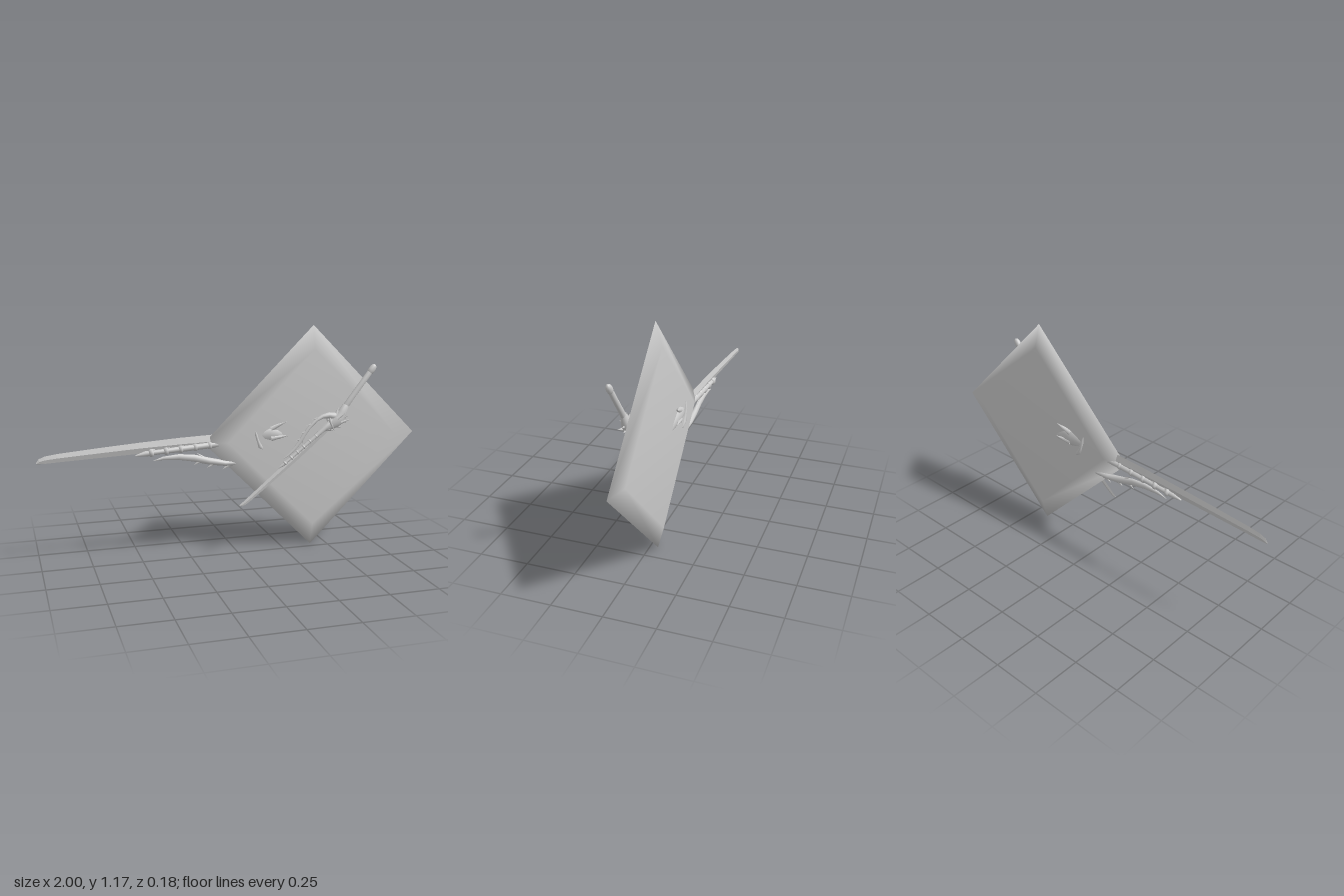
import * as THREE from 'three';

const material = new THREE.MeshStandardMaterial({ color: 0xcccccc, roughness: 0.7 });
const TIP = { x: -1, y: 0.533 }; // the blade tip is the sword's own origin

function addMesh(parent, name, geometry) {
  const mesh = new THREE.Mesh(geometry, material);
  mesh.name = name;
  parent.add(mesh);
  return mesh;
}

// Elliptical loft along a path in the xy plane; each section is [x, y, halfHeight, halfDepth]
function loft(sections, sides = 12, flat = false, z = 0) {
  const pos = [], index = [], n = sections.length;
  sections.forEach(([x, y, h, t], i) => {
    const a = sections[Math.max(i - 1, 0)], b = sections[Math.min(i + 1, n - 1)];
    const len = Math.hypot(b[0] - a[0], b[1] - a[1]);
    const tx = (b[0] - a[0]) / len, ty = (b[1] - a[1]) / len;
    for (let j = 0; j < sides; j++) {
      const ang = (j / sides) * Math.PI * 2, c = Math.cos(ang) * h;
      pos.push(x - ty * c, y + tx * c, z + Math.sin(ang) * t);
    }
  });
  for (let i = 0; i < n - 1; i++) {
    for (let j = 0; j < sides; j++) {
      const k = (j + 1) % sides;
      const a = i * sides + j, b = i * sides + k, c = b + sides, d = a + sides;
      index.push(a, b, c, a, c, d);
    }
  }
  // End caps
  [0, n - 1].forEach((i, end) => {
    const centre = pos.length / 3;
    pos.push(sections[i][0], sections[i][1], z);
    for (let j = 0; j < sides; j++) {
      const a = i * sides + j, b = i * sides + ((j + 1) % sides);
      if (end) index.push(centre, a, b);
      else index.push(centre, b, a);
    }
  });
  let geometry = new THREE.BufferGeometry();
  geometry.setAttribute('position', new THREE.Float32BufferAttribute(pos, 3));
  geometry.setIndex(index);
  if (flat) geometry = geometry.toNonIndexed();
  geometry.computeVertexNormals();
  return geometry.translate(-TIP.x, -TIP.y, 0);
}

// Small spike from a base point to a tip point
function spike(parent, name, from, to, radius) {
  const a = new THREE.Vector3(...from), b = new THREE.Vector3(...to);
  const dir = b.clone().sub(a);
  const mesh = addMesh(parent, name, new THREE.ConeGeometry(radius, dir.length(), 8));
  mesh.position.copy(a).add(b).multiplyScalar(0.5).sub(new THREE.Vector3(TIP.x, TIP.y, 0));
  mesh.quaternion.setFromUnitVectors(new THREE.Vector3(0, 1, 0), dir.normalize());
}

function createSword(name) {
  const sword = new THREE.Group();
  sword.name = name;

  addMesh(sword, 'blade', loft([
    [-1, 0.535, 0.004, 0.002], [-0.985, 0.545, 0.013, 0.004], [-0.96, 0.551, 0.018, 0.005],
    [-0.9, 0.557, 0.021, 0.006], [-0.7, 0.57, 0.025, 0.007], [-0.5, 0.582, 0.028, 0.008],
    [-0.3, 0.591, 0.032, 0.009], [-0.1, 0.597, 0.034, 0.01], [0.1, 0.6, 0.034, 0.01],
  ], 4, true));

  // Ribbed sleeve that holds the lower edge of the blade
  addMesh(sword, 'bladeSleeve', loft([
    [-0.52, 0.544, 0.003, 0.004], [-0.47, 0.552, 0.015, 0.014], [-0.4, 0.558, 0.013, 0.016],
    [-0.3, 0.565, 0.016, 0.018], [-0.1, 0.58, 0.018, 0.021], [0.05, 0.59, 0.024, 0.024],
    [0.15, 0.6, 0.035, 0.026],
  ]));
  for (let i = 0; i < 7; i++) {
    const x = -0.44 + i * 0.075, y = 0.556 + i * 0.0053;
    addMesh(sword, 'sleeveRib', loft([
      [x - 0.014, y - 0.001, 0.012, 0.012], [x - 0.006, y, 0.021, 0.023],
      [x + 0.006, y, 0.021, 0.023], [x + 0.014, y + 0.001, 0.012, 0.012],
    ], 10));
    spike(sword, 'sleeveThorn', [x + 0.015, y + 0.012, 0], [x - 0.025, y + 0.032, 0], 0.009);
  }

  // Curved fang beside the blade, with teeth on its outer edge
  addMesh(sword, 'fang', loft([
    [-0.43, 0.513, 0.001, 0.002], [-0.38, 0.523, 0.009, 0.006], [-0.3, 0.525, 0.015, 0.01],
    [-0.22, 0.514, 0.018, 0.012], [-0.14, 0.493, 0.018, 0.015], [-0.06, 0.478, 0.015, 0.017],
    [0.03, 0.476, 0.015, 0.018], [0.1, 0.495, 0.02, 0.02], [0.15, 0.53, 0.028, 0.024],
    [0.19, 0.58, 0.03, 0.026],
  ]));
  [[-0.2, 0.503], [-0.13, 0.484], [-0.05, 0.47], [0.03, 0.47]].forEach(([x, y]) =>
    spike(sword, 'fangTooth', [x + 0.02, y, 0], [x - 0.025, y - 0.026, 0], 0.012));
  spike(sword, 'fangBarb', [-0.15, 0.5, 0], [-0.21, 0.542, 0], 0.01);

  // Beast-like guard: tapered head, cheeks, ears and mane
  addMesh(sword, 'guardHead', loft([
    [0.02, 0.595, 0.015, 0.015], [0.08, 0.605, 0.036, 0.024], [0.12, 0.615, 0.045, 0.033],
    [0.17, 0.622, 0.054, 0.043], [0.21, 0.617, 0.05, 0.041], [0.26, 0.602, 0.042, 0.033],
    [0.33, 0.575, 0.029, 0.024],
  ], 16));
  for (const side of [-1, 1]) {
    addMesh(sword, 'guardCheek', loft([
      [0.09, 0.66, 0.002, 0.002], [0.097, 0.625, 0.008, 0.011], [0.108, 0.59, 0.008, 0.01],
      [0.12, 0.56, 0.013, 0.012], [0.14, 0.54, 0.004, 0.004],
    ], 10, false, side * 0.029));
    spike(sword, 'guardEar', [0.18, 0.65, side * 0.025], [0.26, 0.685, side * 0.044], 0.017);
    spike(sword, 'guardEar', [0.18, 0.6, side * 0.028], [0.27, 0.61, side * 0.046], 0.017);
  }
  [[0.06, 0.615, 0.09, 0.67], [0.12, 0.63, 0.16, 0.7], [0.17, 0.64, 0.23, 0.7],
    [0.21, 0.625, 0.28, 0.67], [0.2, 0.58, 0.27, 0.535]].forEach(([x, y, x2, y2]) =>
    spike(sword, 'maneSpike', [x, y, 0], [x2, y2, 0], 0.022));

  // Grip and rounded pommel
  addMesh(sword, 'grip', loft([
    [0.28, 0.59, 0.028, 0.022], [0.4, 0.565, 0.026, 0.022], [0.55, 0.54, 0.026, 0.022],
    [0.7, 0.513, 0.025, 0.021],
  ], 16));
  addMesh(sword, 'pommel', loft([
    [0.685, 0.516, 0.018, 0.016], [0.695, 0.514, 0.028, 0.024], [0.72, 0.51, 0.031, 0.026],
    [0.75, 0.505, 0.029, 0.025], [0.77, 0.501, 0.02, 0.018], [0.778, 0.5, 0.006, 0.006],
  ], 16));
  return sword;
}

// Diamond slab: a sharp rim with a sloping border to flat faces, softly shaded
function slabGeometry(radius, inset, halfDepth) {
  const pos = [], index = [];
  for (const [r, z] of [[radius - inset, halfDepth], [radius, 0], [radius - inset, -halfDepth]]) {
    for (let j = 0; j < 4; j++) {
      pos.push(r * Math.cos(j * Math.PI / 2), r * Math.sin(j * Math.PI / 2), z);
    }
  }
  index.push(0, 1, 2, 0, 2, 3, 8, 10, 9, 8, 11, 10);
  for (let ring = 0; ring < 2; ring++) {
    for (let j = 0; j < 4; j++) {
      const a = ring * 4 + j, b = ring * 4 + ((j + 1) % 4);
      index.push(a, a + 4, b + 4, a, b + 4, b);
    }
  }
  const geometry = new THREE.BufferGeometry();
  geometry.setAttribute('position', new THREE.Float32BufferAttribute(pos, 3));
  geometry.setIndex(index);
  geometry.computeVertexNormals();
  return geometry;
}

export function createModel() {
  const model = new THREE.Group();
  model.name = 'swordsAndSlab';

  addMesh(model, 'slab', slabGeometry(0.584, 0.12, 0.032)).position.set(0.414, 0.588, -0.04);

  // Large sword running into the slab
  const large = createSword('largeSword');
  large.position.set(TIP.x, TIP.y, -0.043);
  model.add(large);

  // Small copy turned over in front of the slab
  const small = createSword('smallSword');
  small.scale.setScalar(0.565);
  small.rotation.set(Math.PI, 0, THREE.MathUtils.degToRad(42.5), 'ZYX');
  small.position.set(-0.012, 0.278, 0.064);
  model.add(small);

  return model;
}
